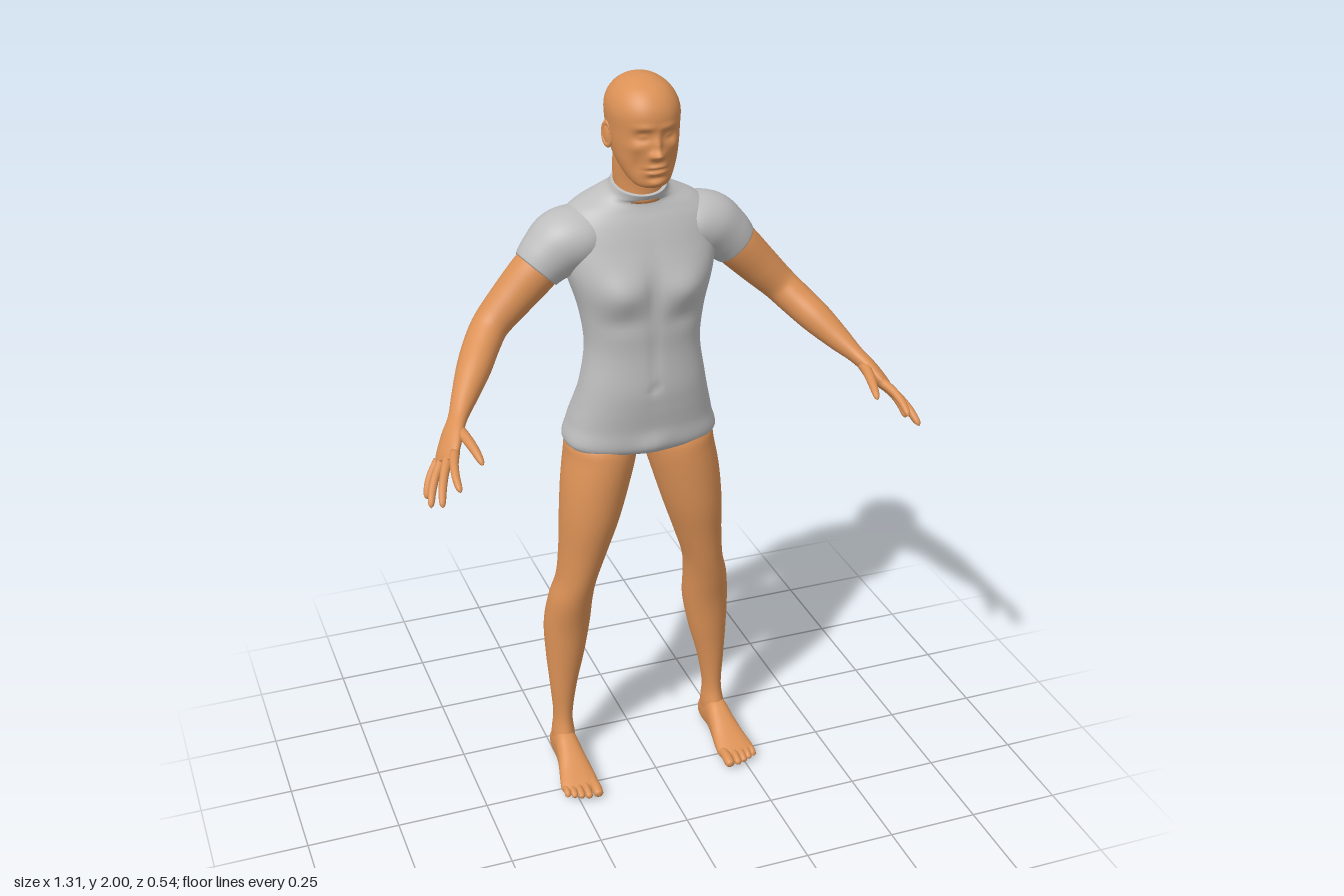
import * as THREE from 'three';

const skin = new THREE.MeshStandardMaterial({ name: 'skin', color: 0xdb9156 });
const cloth = new THREE.MeshStandardMaterial({ name: 'greyCloth', color: 0xbdbdbd });
const V = (x, y, z) => new THREE.Vector3(x, y, z);

// Catmull-Rom resampling of a table of numbers
function resample(rows, n) {
  const out = [];
  for (let i = 0; i <= n; i++) {
    const u = (i / n) * (rows.length - 1);
    const k = Math.min(Math.floor(u), rows.length - 2), t = u - k;
    const at = j => rows[Math.max(0, Math.min(rows.length - 1, j))];
    const [a, b, c, d] = [at(k - 1), at(k), at(k + 1), at(k + 2)];
    out.push(b.map((_, m) => 0.5 * (2 * b[m] + (c[m] - a[m]) * t
      + (2 * a[m] - 5 * b[m] + 4 * c[m] - d[m]) * t * t
      + (3 * b[m] - a[m] - 3 * c[m] + d[m]) * t * t * t)));
  }
  return out;
}

// Closed surface through rings of points, always wound outwards
function surface(rings) {
  const n = rings[0].length, pts = rings.flat(), idx = [];
  for (let r = 0; r < rings.length - 1; r++) {
    for (let i = 0; i < n; i++) {
      const a = r * n + i, b = r * n + (i + 1) % n;
      idx.push([a, b, a + n], [b, b + n, a + n]);
    }
  }
  for (const r of [0, rings.length - 1]) {
    const mid = V(0, 0, 0);
    rings[r].forEach(p => mid.addScaledVector(p, 1 / n));
    pts.push(mid);
    for (let i = 0; i < n; i++) {
      const a = r * n + i, b = r * n + (i + 1) % n, c = pts.length - 1;
      idx.push(r === 0 ? [b, a, c] : [a, b, c]);
    }
  }
  let volume = 0;
  const cross = V(0, 0, 0), base = pts[0];
  for (const [a, b, c] of idx) {
    const [p, q, s] = [a, b, c].map(k => pts[k].clone().sub(base));
    volume += p.dot(cross.crossVectors(q, s));
  }
  if (volume < 0) idx.forEach(f => f.reverse());
  const g = new THREE.BufferGeometry().setFromPoints(pts);
  g.setIndex(idx.flat());
  g.computeVertexNormals();
  return g;
}

// Rows of [position, a0, a1, b0, b1, exponent, tilt]; a is x, b is z (or y for a foot)
function boxLoft(rows, steps, seg, place, sculpt) {
  return surface(resample(rows, steps).map(([p, a0, a1, b0, b1, e = 2, tilt = 0]) => {
    const ring = [];
    for (let i = 0; i < seg; i++) {
      const t = (i / seg) * Math.PI * 2, c = Math.cos(t), s = Math.sin(t);
      const ka = Math.sign(c) * Math.abs(c) ** (2 / e), kb = Math.sign(s) * Math.abs(s) ** (2 / e);
      const hb = (b1 - b0) / 2;
      const v = place((a0 + a1) / 2 + ka * (a1 - a0) / 2, (b0 + b1) / 2 + kb * hb, p - tilt * kb * hb);
      if (sculpt) sculpt(v, kb);
      ring.push(v);
    }
    return ring;
  }));
}

// Rows of [x, y, z, width radius, thickness radius]; flat side faces `normal`
function limbLoft(rows, side, steps, seg, normal) {
  const s = resample(rows, steps);
  return surface(s.map((r, i) => {
    const a = s[Math.max(0, i - 1)], b = s[Math.min(s.length - 1, i + 1)];
    const dir = V(b[0] - a[0], b[1] - a[1], b[2] - a[2]).normalize();
    const wide = V(0, 0, 0).crossVectors(dir, normal).normalize();
    const thick = V(0, 0, 0).crossVectors(wide, dir);
    return Array.from({ length: seg }, (_, k) => {
      const t = (k / seg) * Math.PI * 2;
      const p = V(r[0], r[1], r[2]).addScaledVector(wide, r[3] * Math.cos(t)).addScaledVector(thick, r[4] * Math.sin(t));
      p.x *= side;
      return p;
    });
  }));
}

// Finger or toe with a rounded tip, from base to tip
function digit(base, bend, tip, r0, r1, side, normal) {
  const path = new THREE.QuadraticBezierCurve3(V(...base), V(...bend), V(...tip));
  const rows = [0, 0.3, 0.6, 0.85, 0.95, 1].map((t, i) => {
    const r = (r0 + (r1 - r0) * t) * [1, 0.95, 1, 0.95, 0.7, 0.1][i];
    return [...path.getPoint(t).toArray(), r, r];
  });
  return limbLoft(rows, side, 15, 12, normal);
}

// Soft bumps [|x|, y, x spread, y spread, amount], pushed out at front or back
const bump = (v, list) => list.reduce((sum, [x, y, sx, sy, k]) =>
  sum + k * Math.exp(-(((Math.abs(v.x) - x) / sx) ** 2) - ((v.y - y) / sy) ** 2), 0);
const sculptor = (front, back) => (v, kb) => {
  v.z += kb > 0 ? bump(v, front) * Math.min(1, kb * 1.5) : bump(v, back) * Math.max(-1, kb * 1.5);
};

export function createModel() {
  const model = new THREE.Group();
  model.name = 'standingFigure';
  const add = (name, geometry, material, parent = model) => {
    const m = new THREE.Mesh(geometry, material);
    m.name = name;
    parent.add(m);
    return m;
  };
  const upright = (a, b, p) => V(a, p, b);

  // Torso suit: chest, belly, buttocks, spine groove and shoulder blades
  const torso = [
    [0.985, 0.03, -0.1, -0.16, 2, 0], [0.997, 0.13, -0.05, -0.22, 2.3, 0], [1.02, 0.204, -0.018, -0.254, 2.6, 0],
    [1.08, 0.195, -0.012, -0.252, 2.5, 0], [1.14, 0.18, -0.004, -0.232, 2.4, 0], [1.2, 0.167, 0, -0.213, 2.3, 0],
    [1.3, 0.153, -0.006, -0.205, 2.3, 0], [1.4, 0.165, -0.002, -0.22, 2.4, 0], [1.5, 0.193, -0.008, -0.242, 2.5, 0],
    [1.58, 0.205, -0.035, -0.25, 2.4, 0], [1.63, 0.2, -0.055, -0.25, 2.3, 0], [1.665, 0.165, -0.07, -0.24, 2.2, 0.05],
    [1.69, 0.115, -0.075, -0.222, 2, 0.15], [1.706, 0.082, -0.067, -0.2, 2, 0.28], [1.724, 0.071, -0.06, -0.191, 2, 0.35],
  ].map(([y, w, f, b, e, t]) => [y, -w, w, b, f, e, t]);
  add('torsoSuit', boxLoft(torso, 90, 96, upright, sculptor(
    [[0.085, 1.465, 0.06, 0.045, 0.02], [0, 1.46, 0.02, 0.08, -0.008], [0.08, 1.385, 0.06, 0.025, -0.006],
      [0, 1.2, 0.012, 0.012, -0.006], [0, 1.28, 0.012, 0.1, -0.004], [0, 1.03, 0.04, 0.03, 0.01]],
    [[0.085, 1.08, 0.06, 0.06, 0.026], [0, 1.06, 0.016, 0.06, -0.03], [0, 1.38, 0.022, 0.2, -0.016],
      [0.1, 1.57, 0.06, 0.08, 0.022], [0, 1.6, 0.03, 0.06, -0.012]])), cloth);

  // Neck
  add('neck', boxLoft([[1.68, -0.06, 0.06, -0.184, -0.066], [1.74, -0.066, 0.066, -0.185, -0.066],
    [1.8, -0.066, 0.066, -0.188, -0.05], [1.85, -0.06, 0.06, -0.18, -0.05]], 16, 48, upright), skin);

  // Head with brow, eye sockets, nose, mouth and chin
  const head = [
    [1.738, 0.022, -0.012, -0.05], [1.746, 0.042, 0, -0.075], [1.765, 0.058, 0.006, -0.115], [1.8, 0.074, 0.01, -0.165],
    [1.84, 0.083, 0.012, -0.197], [1.88, 0.087, 0.014, -0.212], [1.92, 0.089, 0.014, -0.215], [1.95, 0.081, 0.002, -0.207],
    [1.975, 0.063, -0.022, -0.185], [1.991, 0.04, -0.055, -0.157], [1.998, 0.02, -0.082, -0.13], [2, 0.004, -0.1, -0.112],
  ].map(([y, w, f, b]) => [y, -w, w, b, f, 2.15]);
  add('head', boxLoft(head, 110, 128, upright, sculptor(
    [[0, 1.829, 0.012, 0.011, 0.021], [0, 1.85, 0.009, 0.022, 0.011], [0.013, 1.826, 0.008, 0.008, 0.008],
      [0.033, 1.873, 0.019, 0.013, -0.013], [0.033, 1.873, 0.012, 0.007, 0.007], [0.03, 1.896, 0.025, 0.008, 0.004],
      [0, 1.797, 0.022, 0.005, 0.008], [0, 1.782, 0.02, 0.005, 0.008], [0, 1.789, 0.026, 0.003, -0.005],
      [0, 1.768, 0.025, 0.006, -0.004], [0, 1.753, 0.02, 0.01, 0.006], [0.052, 1.845, 0.016, 0.014, 0.005],
      [0.045, 1.8, 0.015, 0.025, -0.006]], [])), skin);

  for (const side of [1, -1]) {
    const label = side > 0 ? 'left' : 'right';
    const half = new THREE.Group();
    half.name = label + 'Limbs';
    model.add(half);

    // Ear: bowl and rim
    const ear = new THREE.Group();
    ear.name = label + 'Ear';
    ear.position.set(side * 0.088, 1.856, -0.106);
    ear.rotation.set(-0.15, side * -0.35, 0);
    half.add(ear);
    add('earRim', new THREE.TorusGeometry(0.018, 0.005, 8, 24).rotateY(Math.PI / 2).scale(1, 1.5, 0.9), skin, ear);
    add('earBowl', new THREE.SphereGeometry(0.016, 16, 12).scale(0.35, 1.6, 0.9), skin, ear);

    // Sleeve over the shoulder, then the bare arm down to the palm
    const normal = V(0.75, 0.66, 0);
    add(label + 'Sleeve', limbLoft([[0.09, 1.6, -0.15, 0.075, 0.06], [0.14, 1.59, -0.152, 0.094, 0.076],
      [0.195, 1.574, -0.15, 0.092, 0.084], [0.24, 1.542, -0.145, 0.075, 0.074], [0.268, 1.514, -0.142, 0.064, 0.064]],
    side, 24, 40, normal), cloth, half);
    add(label + 'Arm', limbLoft([[0.24, 1.542, -0.143, 0.06, 0.058], [0.275, 1.508, -0.141, 0.061, 0.06],
      [0.335, 1.446, -0.14, 0.056, 0.054], [0.392, 1.388, -0.132, 0.051, 0.047], [0.428, 1.35, -0.098, 0.05, 0.045],
      [0.465, 1.312, -0.045, 0.046, 0.042], [0.505, 1.27, 0.012, 0.035, 0.032], [0.536, 1.238, 0.058, 0.029, 0.022],
      [0.56, 1.212, 0.092, 0.038, 0.02], [0.582, 1.182, 0.126, 0.043, 0.017], [0.594, 1.167, 0.142, 0.037, 0.011]],
    side, 60, 32, normal), skin, half);

    // Fingers and thumb
    const fingers = [
      [[0.57, 1.194, 0.15], [0.594, 1.18, 0.215], [0.588, 1.148, 0.268], 0.013],
      [[0.585, 1.178, 0.142], [0.62, 1.15, 0.205], [0.63, 1.106, 0.252], 0.013],
      [[0.597, 1.164, 0.125], [0.638, 1.13, 0.17], [0.648, 1.086, 0.208], 0.012],
      [[0.602, 1.156, 0.104], [0.64, 1.12, 0.127], [0.644, 1.08, 0.15], 0.011],
      [[0.545, 1.222, 0.085], [0.53, 1.222, 0.16], [0.52, 1.186, 0.224], 0.017],
    ];
    fingers.forEach(([a, b, c, r], i) =>
      add(label + (i < 4 ? 'Finger' + (i + 1) : 'Thumb'), digit(a, b, c, r, 0.0085, side, normal), skin, half));

    // Leg: thigh, knee, calf and ankle
    const leg = [
      [1.06, 0.03, 0.17, -0.22, -0.055], [1.02, 0.014, 0.2, -0.245, -0.03], [0.98, 0.014, 0.207, -0.25, -0.022],
      [0.9, 0.036, 0.22, -0.232, -0.02], [0.8, 0.066, 0.228, -0.217, -0.025], [0.7, 0.1, 0.231, -0.208, -0.042],
      [0.61, 0.129, 0.239, -0.203, -0.058], [0.54, 0.138, 0.258, -0.214, -0.074], [0.45, 0.142, 0.27, -0.227, -0.095],
      [0.35, 0.16, 0.268, -0.215, -0.105], [0.25, 0.185, 0.261, -0.197, -0.112], [0.15, 0.201, 0.254, -0.189, -0.115],
      [0.09, 0.198, 0.26, -0.197, -0.1], [0.04, 0.2, 0.26, -0.2, -0.09],
    ];
    add(label + 'Leg', boxLoft(leg, 64, 40, (a, b, p) => V(side * a, p, b)), skin, half);

    // Foot with a low arch, then the toes
    const foot = [
      [-0.21, 0.222, 0.238, 0.018, 0.04], [-0.202, 0.207, 0.253, 0.004, 0.062], [-0.17, 0.199, 0.261, 0, 0.09],
      [-0.12, 0.198, 0.264, 0.002, 0.108], [-0.07, 0.193, 0.27, 0.003, 0.086], [-0.02, 0.186, 0.281, 0.001, 0.058],
      [0.02, 0.183, 0.289, 0, 0.04], [0.042, 0.188, 0.284, 0.003, 0.029], [0.048, 0.2, 0.27, 0.008, 0.022],
    ].map(r => [...r, 2.4]);
    add(label + 'Foot', boxLoft(foot, 40, 40, (a, b, p) => V(side * a, b, p)), skin, half);
    [[0.198, 0.085, 0.0145], [0.224, 0.081, 0.0105], [0.244, 0.074, 0.01], [0.262, 0.064, 0.0095], [0.279, 0.052, 0.009]]
      .forEach(([x, z, r], i) => add(label + 'Toe' + (i + 1),
        digit([x, 0.02, 0.015], [x, 0.028, 0.05], [x, r, z], r, r, side, V(0, 1, 0)), skin, half));
  }
  return model;
}
